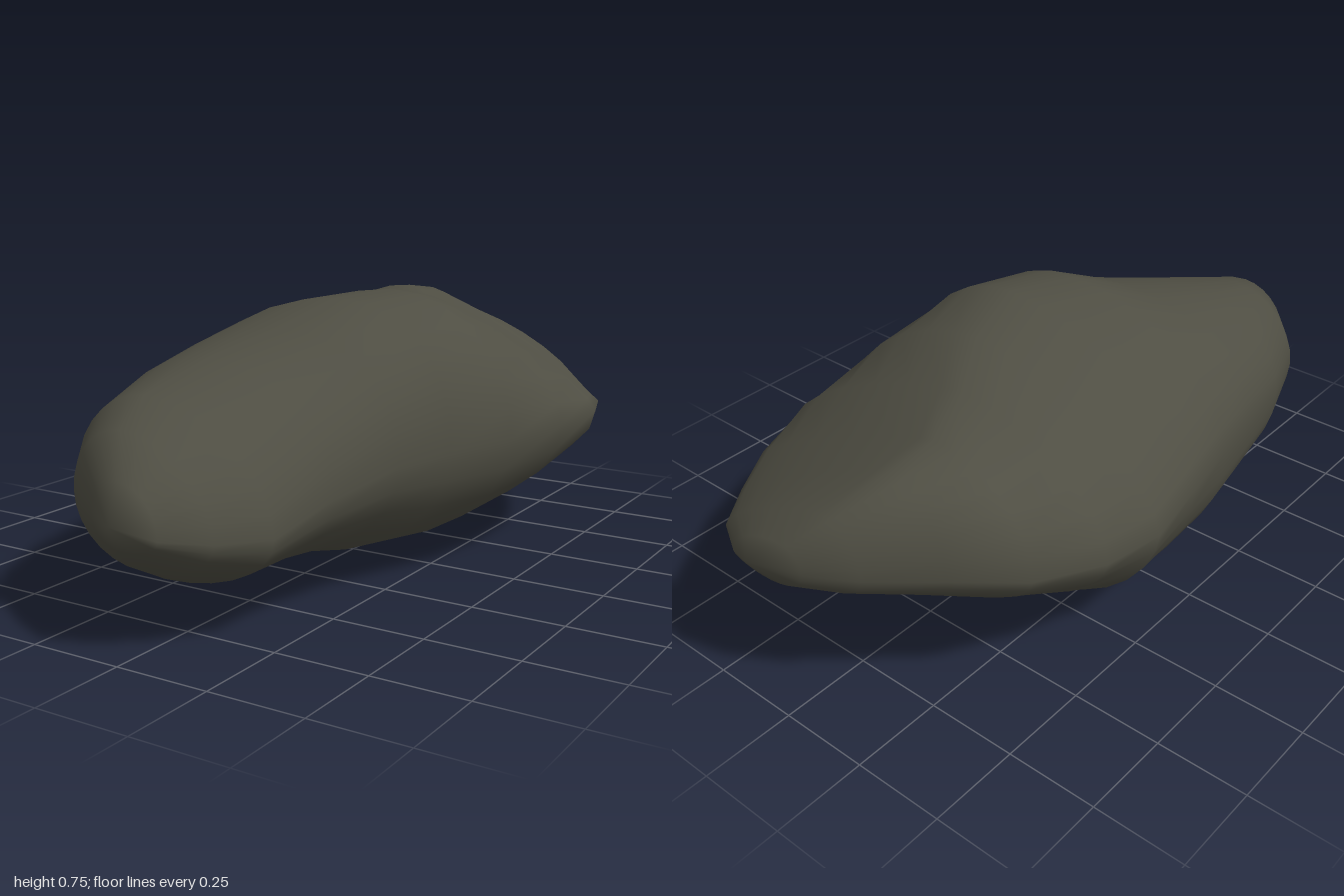
import * as THREE from 'three';

// Cross-sections from nose to tail: z, left x,y, top x,y, right x,y, bottom x,y
const SECTIONS = [
  [0.955, -0.10, 0.33, -0.02, 0.41, 0.09, 0.29, -0.01, 0.25],
  [0.86, -0.24, 0.34, -0.09, 0.50, 0.17, 0.27, -0.04, 0.175],
  [0.73, -0.345, 0.35, -0.13, 0.555, 0.24, 0.26, -0.08, 0.11],
  [0.52, -0.42, 0.37, -0.10, 0.615, 0.27, 0.31, -0.12, 0.09],
  [0.32, -0.455, 0.38, -0.04, 0.67, 0.33, 0.35, -0.14, 0.065],
  [0.16, -0.48, 0.38, 0.04, 0.735, 0.39, 0.36, -0.17, 0.02],
  [-0.03, -0.51, 0.37, 0.10, 0.745, 0.47, 0.37, -0.19, 0.0],
  [-0.24, -0.55, 0.37, 0.04, 0.715, 0.525, 0.38, -0.19, 0.04],
  [-0.43, -0.535, 0.39, -0.08, 0.69, 0.545, 0.385, -0.12, 0.14],
  [-0.62, -0.465, 0.42, -0.17, 0.685, 0.48, 0.375, -0.02, 0.235],
  [-0.76, -0.33, 0.44, -0.16, 0.665, 0.40, 0.365, 0.04, 0.30],
  [-0.89, -0.19, 0.45, -0.08, 0.585, 0.30, 0.375, 0.09, 0.345],
  [-0.96, -0.07, 0.45, -0.01, 0.51, 0.18, 0.40, 0.08, 0.375],
];
// Hollowness of each section's upper left, upper right and lower left flank
// (1 round, below 1 fuller, above 1 hollower)
const FLANKS = [
  [1, 1, 1], [1, 1.1, 1], [1.05, 1.1, 1.05], [1, 0.95, 0.88], [1, 0.88, 0.85],
  [1.1, 0.9, 0.9], [1.2, 1, 1.1], [1.2, 1.2, 1.2], [1.05, 1.5, 1.25],
  [0.95, 1.75, 1.2], [0.95, 1.75, 1.1], [1, 1.5, 1], [1, 1.2, 1],
];
const NOSE = [-0.01, 0.32, 1];
const TAIL = [0.08, 0.44, -1];
const STEPS = 7; // points per quarter of a ring

// One closed ring made of four curved quarters: left, top, right, bottom
function ring([z, lx, ly, tx, ty, rx, ry, bx, by], row) {
  const [upperLeft, upperRight, lowerLeft] = FLANKS[row];
  const quarters = [
    [lx, ly, tx, ty, lx, ty, upperLeft],
    [tx, ty, rx, ry, rx, ty, upperRight],
    [rx, ry, bx, by, rx, by, 1],
    [bx, by, lx, ly, lx, by, lowerLeft],
  ];
  const points = [];
  for (const [ax, ay, ex, ey, cx, cy, power] of quarters) {
    // (cx, cy) is the outer corner of the quarter; (ox, oy) is its inner centre
    const ox = ax + ex - cx, oy = ay + ey - cy;
    for (let k = 0; k < STEPS; k++) {
      const t = (k / STEPS) * Math.PI / 2;
      const c = Math.cos(t) ** power, s = Math.sin(t) ** power;
      points.push(ox + (ax - ox) * c + (ex - ox) * s, oy + (ay - oy) * c + (ey - oy) * s, z);
    }
  }
  return points;
}

function stoneGeometry() {
  const n = STEPS * 4, rows = SECTIONS.length;
  const positions = [...SECTIONS.flatMap(ring), ...NOSE, ...TAIL];
  const nose = rows * n, tail = nose + 1, last = (rows - 1) * n;
  const index = [];
  for (let j = 0; j < n; j++) {
    const k = (j + 1) % n;
    index.push(nose, k, j, last + j, last + k, tail);
    for (let i = 0; i < rows - 1; i++) {
      const a = i * n + j, b = i * n + k;
      index.push(a, b, a + n, b, b + n, a + n);
    }
  }
  const geometry = new THREE.BufferGeometry();
  geometry.setAttribute('position', new THREE.Float32BufferAttribute(positions, 3));
  geometry.setIndex(index);
  geometry.computeVertexNormals();
  return geometry;
}

export function createModel() {
  const model = new THREE.Group();
  model.name = 'rock';
  const material = new THREE.MeshStandardMaterial({ color: 0x4f4e43 });
  material.name = 'dark olive stone';
  const stone = new THREE.Mesh(stoneGeometry(), material);
  stone.name = 'stone';
  model.add(stone);
  return model;
}
